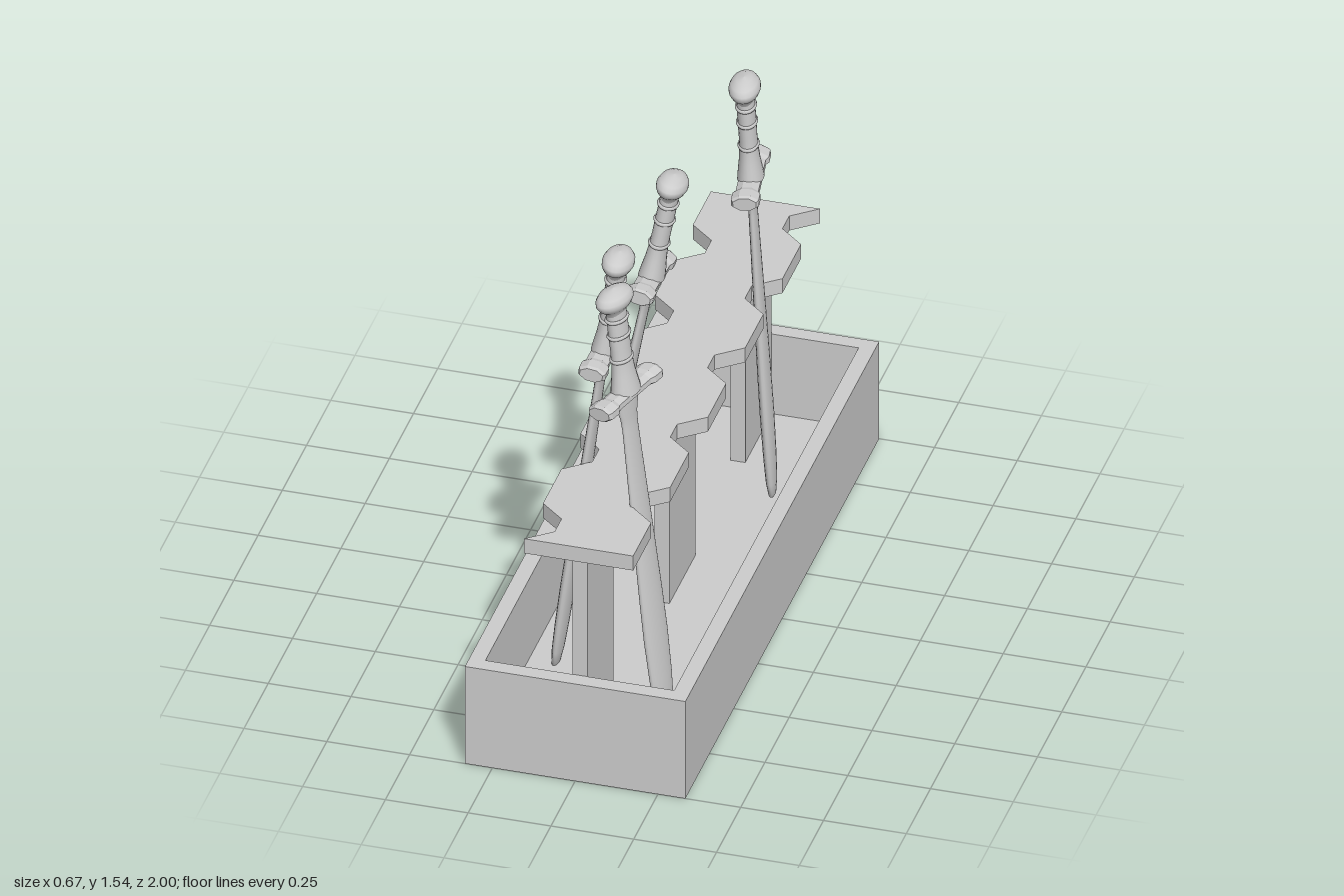
import * as THREE from 'three';

const smooth = new THREE.MeshStandardMaterial({ color: 0xcccccc });
const flat = new THREE.MeshStandardMaterial({ color: 0xcccccc, flatShading: true });

function add(parent, name, geometry, material = flat) {
  const mesh = new THREE.Mesh(geometry, material);
  mesh.name = name;
  parent.add(mesh);
  return mesh;
}

// Flat outline raised from y0 to y1; shape y becomes -z
function slab(shape, y0, y1) {
  const g = new THREE.ExtrudeGeometry(shape, { depth: y1 - y0, bevelEnabled: false });
  return g.rotateX(-Math.PI / 2).translate(0, y0, 0);
}

function rect(Type, x, y) {
  const p = new Type();
  p.moveTo(-x, -y).lineTo(x, -y).lineTo(x, y).lineTo(-x, y).closePath();
  return p;
}

// Turned profile of [radius, y] pairs running upward
function turned(profile, sides, start = 0) {
  return new THREE.LatheGeometry(profile.map(([r, y]) => new THREE.Vector2(r, y)), sides, start);
}

// Plank outline: five notches per long edge, the left edge being the right one turned half round
function plankShape() {
  const edge = [[0.165, -0.965]];
  for (const c of [-0.68, -0.29, 0.095, 0.48, 0.868]) {
    edge.push([0.165, c - 0.1], [0.09, c - 0.035], [0.09, c + 0.035], [0.165, c + 0.097]);
  }
  const all = [...edge, ...edge.map(([x, y]) => [-x, -y])];
  return new THREE.Shape(all.map(([x, y]) => new THREE.Vector2(x, y)));
}

// Sword hanging down from its pommel top at the origin, wide along z
function createSword() {
  const sword = new THREE.Group();

  // Leaf-shaped blade
  const blade = turned([
    [0, -1.48], [0.03, -1.46], [0.044, -1.41], [0.051, -1.32], [0.055, -1.18], [0.053, -1.05],
    [0.046, -0.8], [0.039, -0.58], [0.036, -0.47], [0.039, -0.43], [0.05, -0.39], [0.052, -0.36],
  ], 20).scale(0.36, 1, 1);
  add(sword, 'blade', blade, smooth);

  // Crossguard, thicker at both ends
  const guard = turned([
    [0, -0.14], [0.037, -0.14], [0.044, -0.13], [0.044, -0.095], [0.036, -0.08], [0.036, 0.08],
    [0.044, 0.095], [0.044, 0.13], [0.037, 0.14], [0, 0.14],
  ], 8, Math.PI / 8);
  guard.rotateX(Math.PI / 2).scale(1, 0.6, 1).translate(0, -0.355, 0);
  add(sword, 'crossguard', guard);

  // Grip flaring towards the guard
  const grip = turned([
    [0.055, -0.35], [0.05, -0.32], [0.043, -0.285], [0.039, -0.25], [0.037, -0.2],
    [0.038, -0.15], [0.037, -0.1], [0.038, -0.06],
  ], 20).scale(0.72, 1, 1);
  add(sword, 'grip', grip, smooth);

  // Raised rings on the grip
  for (const y of [-0.235, -0.155, -0.1]) {
    const ring = new THREE.TorusGeometry(0.038, 0.006, 6, 20);
    ring.rotateX(Math.PI / 2).scale(0.74, 1, 1).translate(0, y, 0);
    add(sword, 'gripRing', ring, smooth);
  }

  // Mushroom pommel
  const pommel = turned([
    [0.036, -0.085], [0.044, -0.068], [0.062, -0.055], [0.071, -0.042], [0.071, -0.03],
    [0.06, -0.016], [0.035, -0.005], [0, 0],
  ], 24).scale(0.65, 1, 1);
  add(sword, 'pommel', pommel, smooth);
  return sword;
}

export function createModel() {
  const model = new THREE.Group();
  model.name = 'swordRack';

  // Open tray
  const walls = rect(THREE.Shape, 0.333, 1);
  walls.holes.push(rect(THREE.Path, 0.285, 0.952));
  add(model, 'trayWalls', slab(walls, 0, 0.335));
  add(model, 'trayFloor', slab(rect(THREE.Shape, 0.3, 0.97), 0, 0.06));

  // Upright boards carrying the notched plank
  for (const z of [0.815, -0.032, -0.815]) {
    add(model, 'upright', new THREE.BoxGeometry(0.045, 0.69, 0.27)).position.set(0, 0.395, z);
  }
  add(model, 'notchedPlank', slab(plankShape(), 0.735, 0.785));

  // Leaning swords: pommel top, tip, and sideways turn of the guard
  const swords = [
    [[0.02, 1.505, 0.675], [0.18, 0.04, 0.675], -0.32],
    [[-0.015, 1.508, 0.485], [-0.21, 0.04, 0.487], 0],
    [[0.02, 1.503, 0.038], [-0.24, 0.05, 0.165], 0],
    [[0.085, 1.545, -0.453], [0.155, 0.06, -0.512], 0.15],
  ];
  for (const [top, tip, turn] of swords) {
    const sword = createSword();
    sword.name = 'sword';
    const up = new THREE.Vector3(...top).sub(new THREE.Vector3(...tip)).normalize();
    const side = new THREE.Vector3().crossVectors(up, new THREE.Vector3(turn, 0, 1)).normalize();
    const along = new THREE.Vector3().crossVectors(side, up);
    sword.quaternion.setFromRotationMatrix(new THREE.Matrix4().makeBasis(side, up, along));
    sword.position.set(...top);
    model.add(sword);
  }
  return model;
}
